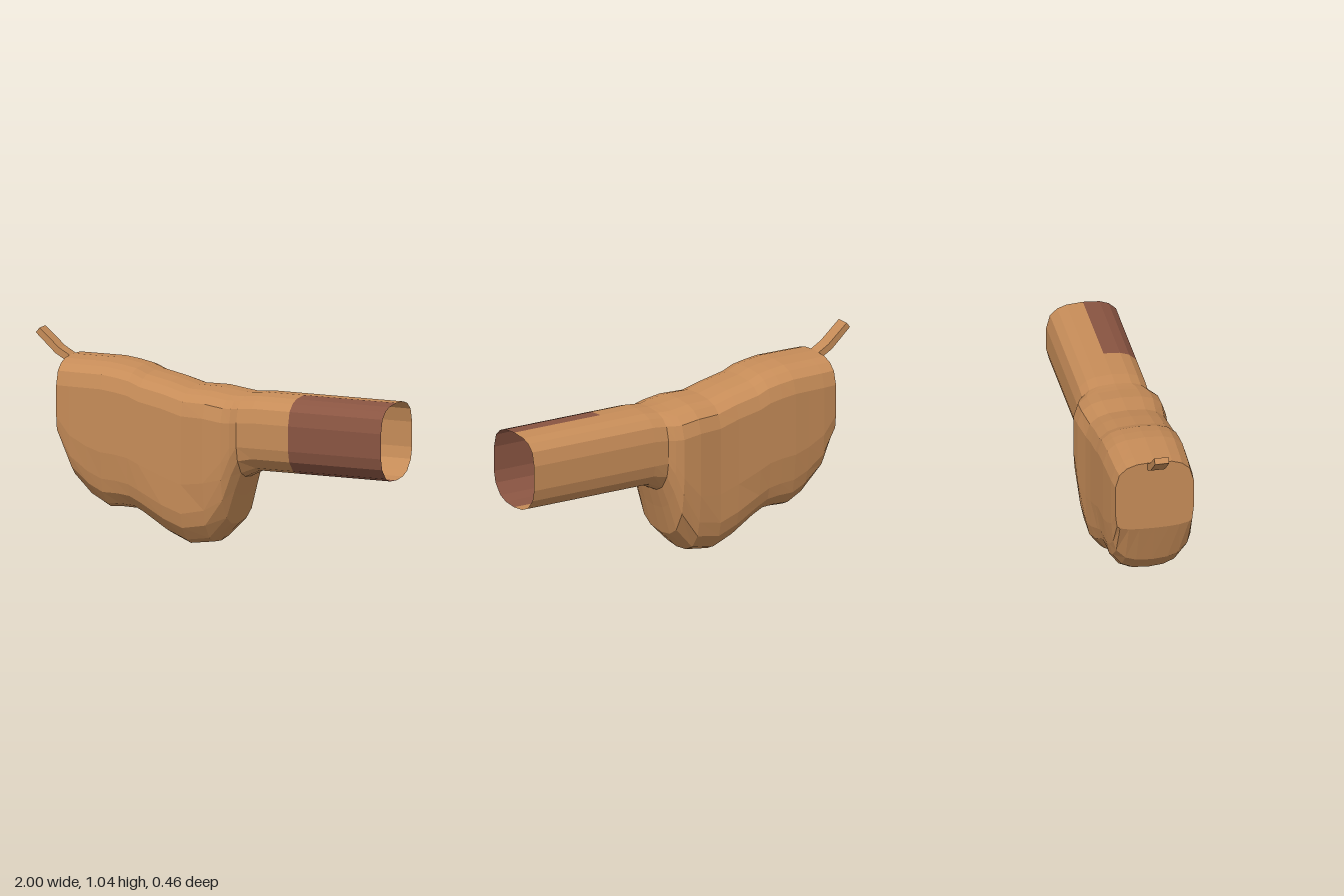
import * as THREE from 'three';

const tan = new THREE.MeshStandardMaterial({ color: 0xc68c58, flatShading: true, side: THREE.DoubleSide });
tan.name = 'tan';
const brown = new THREE.MeshStandardMaterial({ color: 0x8a5542, flatShading: true, side: THREE.DoubleSide });
brown.name = 'brown';

// Cross-section corners as [share of half width, share of corner height]
const TOP = [[0, 0], [0.45, 0.05], [0.7, 0.18], [0.9, 0.45], [1, 1]];
const BOTTOM = [[1, 1], [0.92, 0.58], [0.68, 0.2], [0.4, 0.05], [0, 0]];
const HALF = 11; // index of the bottom centre point in a ring

// Closed ring: from top centre down the +z side, then back up the -z side
function ring([x, yTop, yBottom, w, wLow, h]) {
  const hTop = 0.13;
  const half = TOP.map(([u, v]) => [yTop - v * hTop, u * w]);
  const from = yTop - hTop, to = yBottom + h;
  for (const t of [0.35, 0.7]) half.push([from + (to - from) * t, w]);
  for (const [u, v] of BOTTOM) half.push([yBottom + v * h, u * wLow]);
  const back = half.slice(0, -1).reverse().map(([y, z]) => [y, -z]);
  return [...half, ...back].map(([y, z]) => new THREE.Vector3(x, y, z));
}

function mesh(name, points, material) {
  const geometry = new THREE.BufferGeometry().setFromPoints(points);
  geometry.computeVertexNormals();
  const m = new THREE.Mesh(geometry, material);
  m.name = name;
  return m;
}

// Skin between neighbouring rings, over ring points j0 to j1
function loft(name, sections, material, j0 = 0, j1 = HALF * 2) {
  const rings = sections.map(ring);
  const points = [];
  for (let i = 0; i < rings.length - 1; i++) {
    for (let j = j0; j < j1; j++) {
      const a = rings[i][j], b = rings[i][j + 1], c = rings[i + 1][j + 1], d = rings[i + 1][j];
      points.push(a, b, c, a, c, d);
    }
  }
  return mesh(name, points, material);
}

// x, top, bottom, half width, lower half width, height of bottom rounding
const BODY = [
  [-0.81, 0.925, 0.535, 0.203, 0.195, 0.03],
  [-0.735, 0.925, 0.305, 0.21, 0.2, 0.13],
  [-0.64, 0.925, 0.205, 0.213, 0.2, 0.16],
  [-0.56, 0.925, 0.16, 0.216, 0.2, 0.17],
  [-0.48, 0.915, 0.165, 0.215, 0.2, 0.16],
  [-0.41, 0.902, 0.163, 0.214, 0.2, 0.15],
  [-0.35, 0.877, 0.135, 0.213, 0.202, 0.15],
  [-0.22, 0.85, 0.052, 0.211, 0.208, 0.17],
  [-0.11, 0.82, 0.005, 0.214, 0.212, 0.18],
  [0.02, 0.82, 0.022, 0.23, 0.215, 0.19],
  [0.12, 0.806, 0.12, 0.23, 0.225, 0.26],
  [0.16, 0.803, 0.27, 0.212, 0.21, 0.22],
  [0.19, 0.802, 0.37, 0.19, 0.19, 0.18],
];
const tube = (x) => [x, 0.81, 0.41, 0.19, 0.19, 0.14];

export function createModel() {
  const model = new THREE.Group();
  model.name = 'hollowHandle';

  // Hollow body and the plain part of the tube
  model.add(loft('body', BODY, tan));
  model.add(loft('tube', [BODY.at(-1), tube(0.27), tube(0.48)], tan));

  // Open tube end: brown on the front half, tan on the back half
  const end = [tube(0.48), tube(1)];
  model.add(loft('tubeEndFront', end, brown, 0, HALF));
  model.add(loft('tubeEndBack', end, tan, HALF, HALF * 2));

  // Flat wall closing the far end of the body
  const rim = ring(BODY[0]);
  const centre = new THREE.Vector3(-0.81, 0.72, 0);
  const fan = [];
  for (let j = 0; j < rim.length - 1; j++) fan.push(centre, rim[j + 1], rim[j]);
  model.add(mesh('endWall', fan, tan));

  // Bent tab rising from the wall
  const outline = [[-1, 1.025], [-0.89, 0.925], [-0.805, 0.878], [-0.805, 0.918], [-0.87, 0.955], [-0.98, 1.05]];
  const shape = new THREE.Shape(outline.map(([x, y]) => new THREE.Vector2(x, y)));
  const tab = new THREE.Mesh(new THREE.ExtrudeGeometry(shape, { depth: 0.074, bevelEnabled: false }), tan);
  tab.position.z = -0.037;
  tab.name = 'tab';
  model.add(tab);

  return model;
}
